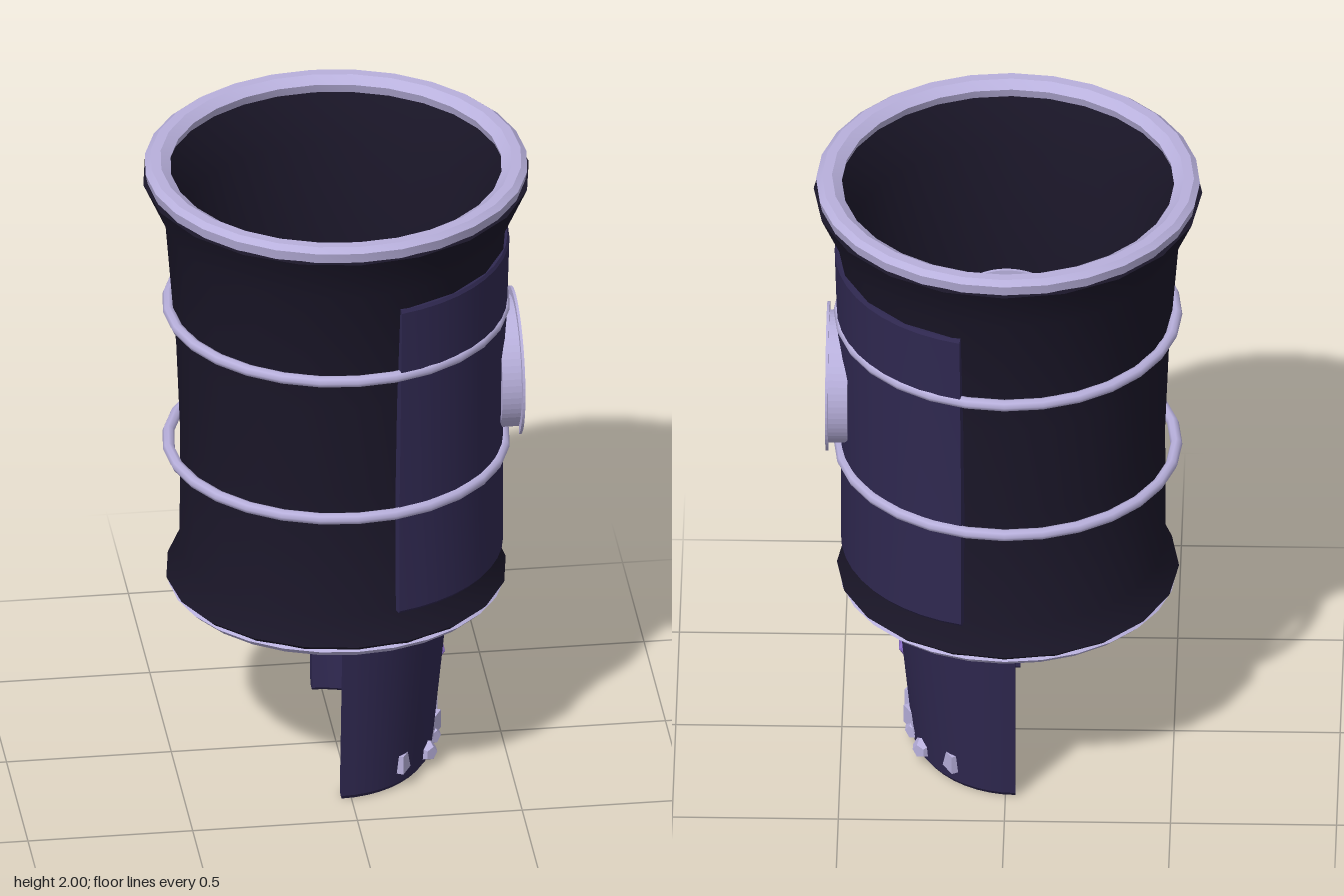
import * as THREE from 'three';
import { mergeGeometries, toCreasedNormals } from 'three/addons/utils/BufferGeometryUtils.js';

const mat = (color) => new THREE.MeshStandardMaterial({ color, side: THREE.DoubleSide });
const V = (points) => points.map(([r, y]) => new THREE.Vector2(r, y));

// Closed profile turned about y, with flat end caps when the sweep is partial
function turned(points, segments, start = 0, length = Math.PI * 2) {
  const parts = [new THREE.LatheGeometry(V([...points, points[0]]), segments, start, length)];
  if (length < Math.PI * 2) {
    for (const phi of [start, start + length]) {
      parts.push(new THREE.ShapeGeometry(new THREE.Shape(V(points))).rotateY(phi - Math.PI / 2));
    }
  }
  return toCreasedNormals(mergeGeometries(parts), 0.55);
}

// Crescent open at the bottom, extruded along +z
function crescent(R, r, depth) {
  const tip = -0.955; // angle of the right-hand tip
  const s = new THREE.Shape();
  s.absarc(0, 0, R, tip, Math.PI - tip, false);
  s.absarc(0, -0.07, r, Math.PI, 0, true);
  s.closePath();
  return new THREE.ExtrudeGeometry(s, { depth, bevelEnabled: false, curveSegments: 24 });
}

export function createModel() {
  const group = new THREE.Group();
  const dark = mat(0x1a1628), plate = mat(0x2f2850), trim = mat(0xb8b0dc), violet = mat(0x8a6cc8);
  const add = (name, geometry, material, x = 0, y = 0, z = 0) => {
    const mesh = new THREE.Mesh(geometry, material);
    mesh.name = name;
    mesh.position.set(x, y, z);
    group.add(mesh);
    return mesh;
  };

  // Hollow flared sleeve
  add('sleeve', turned([
    [0.49, 0.575], [0.515, 0.6], [0.475, 0.69], [0.473, 1.1], [0.485, 1.4], [0.517, 1.8], [0.585, 1.95],
    [0.53, 1.96], [0.465, 1.8], [0.435, 1.4], [0.414, 1.1], [0.414, 0.69], [0.45, 0.6],
  ], 20), dark);

  // Rims and hoops
  add('topRim', turned([
    [0.51, 1.95], [0.57, 1.945], [0.578, 1.985], [0.56, 2], [0.53, 2], [0.5, 1.98],
  ], 28), trim);
  add('bottomRim', turned([
    [0.45, 0.56], [0.485, 0.56], [0.508, 0.582], [0.49, 0.595], [0.445, 0.585],
  ], 28), trim);
  for (const y of [1.04, 1.51]) {
    add('hoop', new THREE.TorusGeometry(0.507, 0.018, 8, 28).rotateX(Math.PI / 2), trim, 0, y);
  }

  // Curved plate on the outer side
  const a = THREE.MathUtils.degToRad(15);
  add('sidePlate', turned([
    [0.46, 0.69], [0.495, 0.69], [0.503, 0.7], [0.503, 1.1], [0.522, 1.73], [0.516, 1.74], [0.49, 1.74], [0.465, 1.1],
  ], 20, a, Math.PI - 2 * a), plate);

  // Crescent badge: thin flange on a narrower neck, around a dark boss
  const badge = new THREE.Group();
  badge.name = 'crescentBadge';
  const flange = new THREE.Mesh(crescent(0.225, 0.14, 0.008), trim);
  flange.name = 'crescentFlange';
  flange.position.z = 0.538;
  const neck = new THREE.Mesh(crescent(0.2, 0.15, 0.06), trim);
  neck.name = 'crescentNeck';
  neck.position.z = 0.48;
  const boss = new THREE.Mesh(new THREE.CylinderGeometry(0.1, 0.1, 0.04, 28).rotateX(Math.PI / 2), plate);
  boss.name = 'badgeBoss';
  boss.position.set(0, -0.035, 0.5);
  badge.add(flange, neck, boss);
  badge.position.y = 1.27;
  badge.rotation.y = Math.PI / 2;
  group.add(badge);

  // Smaller crescent and stone set into the inner wall
  add('innerCrescent', crescent(0.2, 0.13, 0.01), trim, 0.01, 1.2, 0.388);
  add('innerStone', new THREE.CylinderGeometry(0.05, 0.05, 0.015, 12).rotateX(Math.PI / 2), violet, 0.025, 1.17, 0.382);

  // Tapered half-round guard below the sleeve
  const guard = add('handGuard', turned([
    [0.32, 0.012], [0.332, 0], [0.358, 0], [0.37, 0.015], [0.428, 0.52], [0.437, 0.61], [0.425, 0.625],
    [0.405, 0.625], [0.39, 0.6], [0.375, 0.52],
  ], 24, 0, Math.PI), plate, -0.03);
  guard.scale.x = 0.86;

  // Faceted stone in the guard
  const stone = violet.clone();
  stone.flatShading = true;
  add('guardStone', new THREE.IcosahedronGeometry(0.045), stone, 0.29, 0.3);

  // Knuckle bars and studs, mirrored front to back
  const stud = trim.clone();
  stud.flatShading = true;
  for (const s of [1, -1]) {
    const bar = add('knuckleBar', new THREE.BoxGeometry(0.09, 0.06, 0.32), trim, 0.198, 0.08, s * 0.162);
    bar.rotation.y = -s * 0.49;
    for (const [x, y, z] of [[0.25, 0.05, 0.18], [0.275, 0.045, 0.07]]) {
      add('knuckleStud', new THREE.DodecahedronGeometry(0.035), stud, x, y, s * z);
    }
  }
  return group;
}
